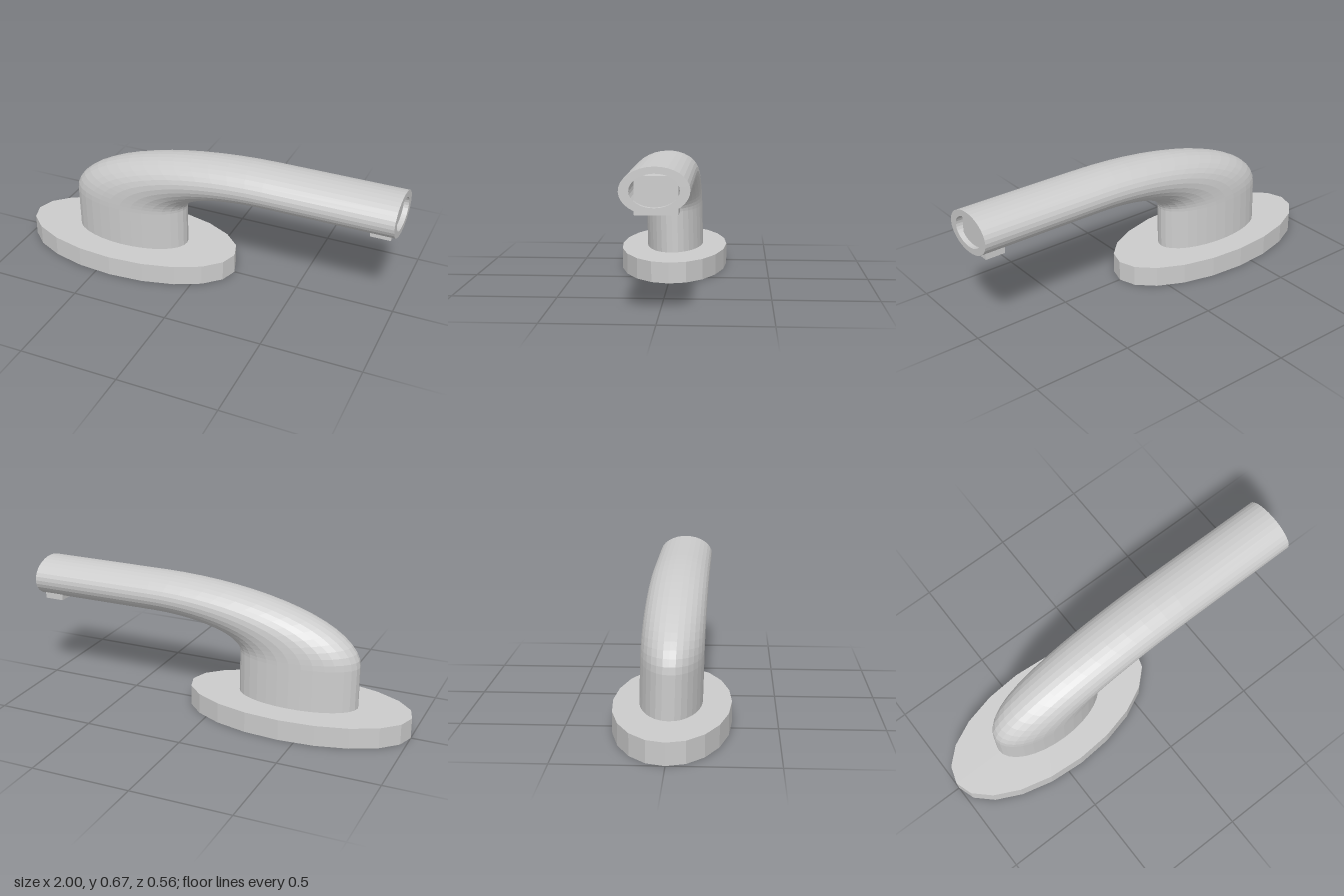
import * as THREE from 'three';

const SIDES = 32;
const BEND_STEPS = 16;

// One elliptical ring of the spout: angle 0 is the upright leg, PI/2 the level arm.
// k scales the section, dy and dx push the ring down the leg or out along the arm.
function ring(angle, k, dy, dx) {
  const points = [];
  for (let j = 0; j < SIDES; j++) {
    const t = (j / SIDES) * Math.PI * 2;
    const c = k * Math.cos(t);
    points.push(
      0.35 + dx - Math.cos(angle) * (0.77 + 0.31 * c),
      0.32 - dy + Math.sin(angle) * (0.245 + 0.101 * c),
      0.15 * k * Math.sin(t)
    );
  }
  return points;
}

// Leg foot, bend, arm end
function sweep(k) {
  const rings = [ring(0, k, 0.213, 0)];
  for (let i = 0; i <= BEND_STEPS; i++) {
    rings.push(ring((i / BEND_STEPS) * Math.PI / 2, k, 0, 0));
  }
  rings.push(ring(Math.PI / 2, k, 0, 0.65));
  return rings;
}

// Outer wall forwards, bore backwards, closed by the two flat rims
function spoutGeometry() {
  const rings = [...sweep(1), ...sweep(0.71).reverse()];
  const index = [];
  rings.forEach((_, i) => {
    const a = i * SIDES;
    const b = ((i + 1) % rings.length) * SIDES;
    for (let j = 0; j < SIDES; j++) {
      const n = (j + 1) % SIDES;
      index.push(a + j, a + n, b + j, a + n, b + n, b + j);
    }
  });
  const geometry = new THREE.BufferGeometry();
  geometry.setAttribute('position', new THREE.Float32BufferAttribute(rings.flat(), 3));
  geometry.setIndex(index);
  geometry.computeVertexNormals();
  return geometry;
}

export function createModel() {
  const group = new THREE.Group();
  const material = new THREE.MeshStandardMaterial({ color: 0xcccccc, flatShading: true });

  const add = (name, geometry, x, y, z) => {
    const mesh = new THREE.Mesh(geometry, material);
    mesh.name = name;
    mesh.position.set(x, y, z);
    group.add(mesh);
    return mesh;
  };

  // Oval mounting plate
  const plate = new THREE.CylinderGeometry(1, 1, 0.105, 20);
  plate.rotateY(Math.PI / 2);
  plate.scale(0.58, 1, 0.282);
  add('basePlate', plate, -0.42, 0.0525, 0);

  // Hollow spout, leaning very slightly forward
  const spout = add('spout', spoutGeometry(), 0, 0, -0.008);
  spout.rotation.x = 0.026;

  // Block set through the mouth, showing under the arm
  add('outletBlock', new THREE.BoxGeometry(0.1, 0.165, 0.186), 0.925, 0.5425, 0);

  return group;
}
